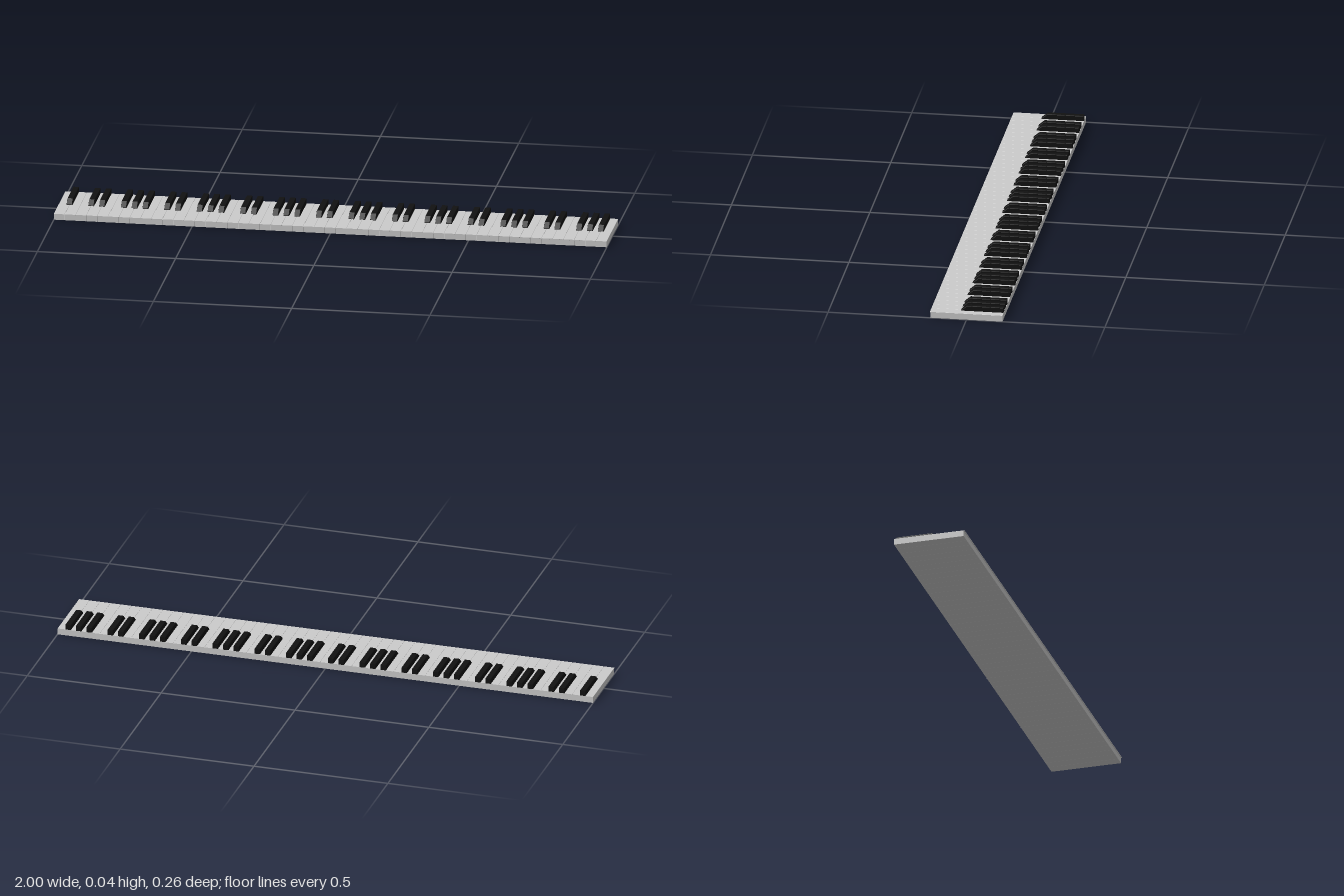
import * as THREE from 'three';

const WHITE_COUNT = 51;
const PITCH = 2 / WHITE_COUNT;

// Extrudes a (z, y) side profile across x, centred, with slightly softened edges.
function keyGeometry(profile, width, bevel, segments) {
  const shape = new THREE.Shape(profile.map(([z, y]) => new THREE.Vector2(z, y)));
  const geometry = new THREE.ExtrudeGeometry(shape, {
    depth: width - 2 * bevel,
    bevelEnabled: true,
    bevelThickness: bevel,
    bevelSize: bevel,
    bevelOffset: -bevel,
    bevelSegments: segments,
  });
  geometry.translate(0, 0, -(width - 2 * bevel) / 2);
  geometry.rotateY(-Math.PI / 2);
  return geometry;
}

export function createModel() {
  const model = new THREE.Group();
  model.name = 'pianoKeys';
  const whiteMaterial = new THREE.MeshStandardMaterial({ color: 0xcccccc });
  const blackMaterial = new THREE.MeshStandardMaterial({ color: 0x111111 });

  // White key: a slab whose top overhangs the front as a thin lip
  const whiteGeometry = keyGeometry([
    [-0.13, 0], [0.129, 0], [0.129, 0.0195], [0.132, 0.0205], [0.132, 0.023], [-0.13, 0.023],
  ], PITCH - 0.0002, 0.0005, 1);

  // Black key: a raised bar with a sloping front
  const blackGeometry = keyGeometry([
    [-0.1295, 0.018], [0.024, 0.018], [0.024, 0.0245], [0.003, 0.042], [-0.1295, 0.042],
  ], 0.021, 0.002, 2);

  const whiteKeys = new THREE.Group();
  whiteKeys.name = 'whiteKeys';
  const blackKeys = new THREE.Group();
  blackKeys.name = 'blackKeys';
  model.add(whiteKeys, blackKeys);

  // Notes run A to B; a black key follows A, C, D, F and G
  const hasBlack = [true, false, true, true, false, true, true];
  for (let i = 0; i < WHITE_COUNT; i++) {
    const white = new THREE.Mesh(whiteGeometry, whiteMaterial);
    white.name = `whiteKey${i + 1}`;
    white.position.x = -1 + (i + 0.5) * PITCH;
    whiteKeys.add(white);

    if (hasBlack[i % 7] && i < WHITE_COUNT - 1) {
      const black = new THREE.Mesh(blackGeometry, blackMaterial);
      black.name = `blackKey${blackKeys.children.length + 1}`;
      black.position.x = -1 + (i + 1) * PITCH;
      blackKeys.add(black);
    }
  }
  return model;
}
